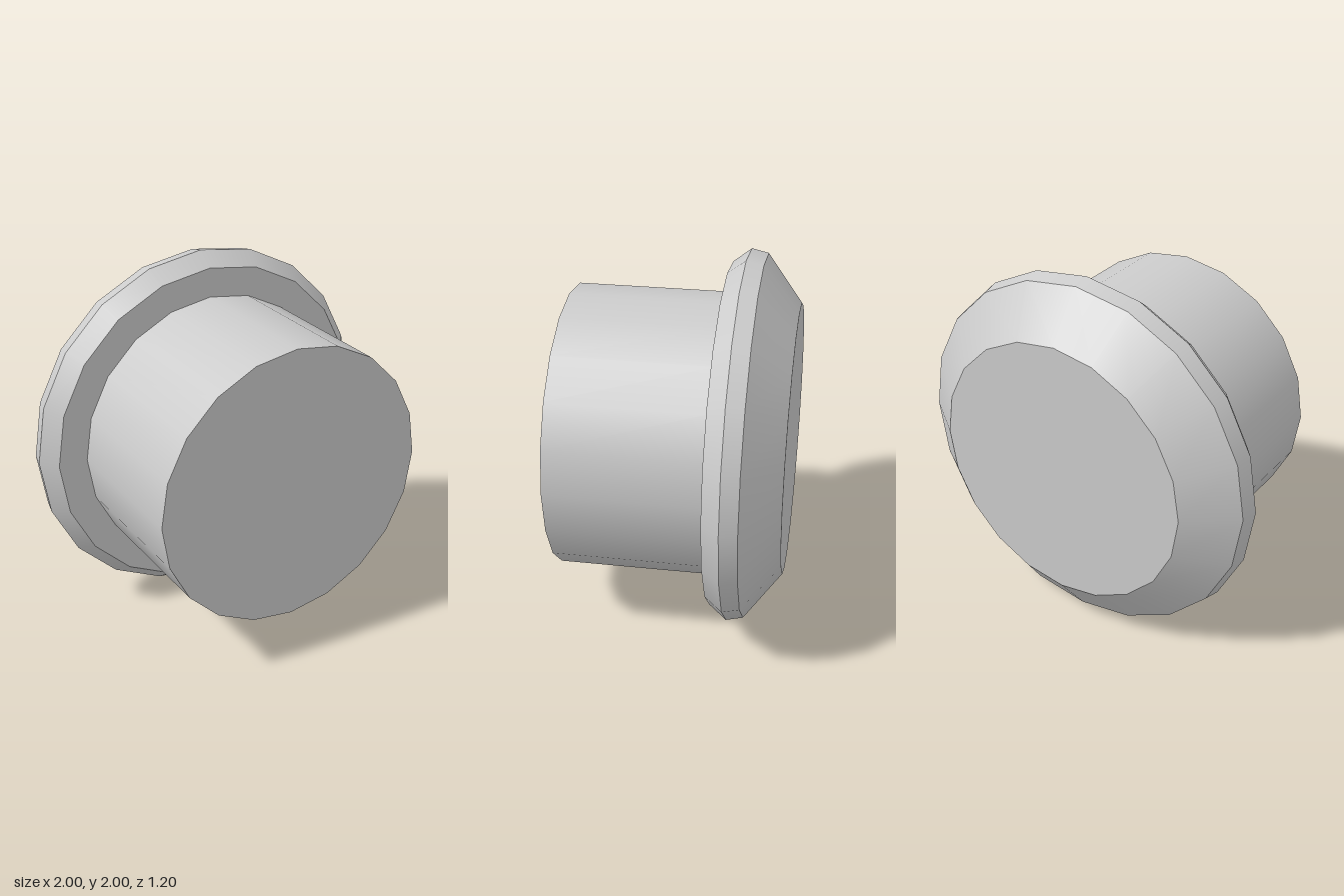
import * as THREE from 'three';
import { mergeGeometries } from 'three/addons/utils/BufferGeometryUtils.js';

const SIDES = 20;

// Turns a [radius, z] profile (back to front) around z; each band is smooth around but creased at its rims.
function turned(name, profile) {
  const bands = [];
  for (let i = 0; i < profile.length - 1; i++) {
    const pair = [profile[i], profile[i + 1]].map(([r, z]) => new THREE.Vector2(r, z));
    bands.push(new THREE.LatheGeometry(pair, SIDES));
  }
  const geometry = mergeGeometries(bands);
  geometry.rotateX(Math.PI / 2);
  const mesh = new THREE.Mesh(geometry, new THREE.MeshStandardMaterial({ color: 0xcccccc }));
  mesh.name = name;
  mesh.position.y = 1;
  return mesh;
}

export function createModel() {
  const group = new THREE.Group();
  group.name = 'flangedPlug';

  // Bevelled cap with its flat back face and the ring around the shaft
  group.add(turned('cap', [
    [0, -0.6], [0.73, -0.6], [0.98, -0.41], [1, -0.32], [0.927, -0.225], [0.766, -0.225],
  ]));

  // Straight shaft closed at the front
  group.add(turned('shaft', [[0.766, -0.225], [0.766, 0.6], [0, 0.6]]));

  return group;
}
